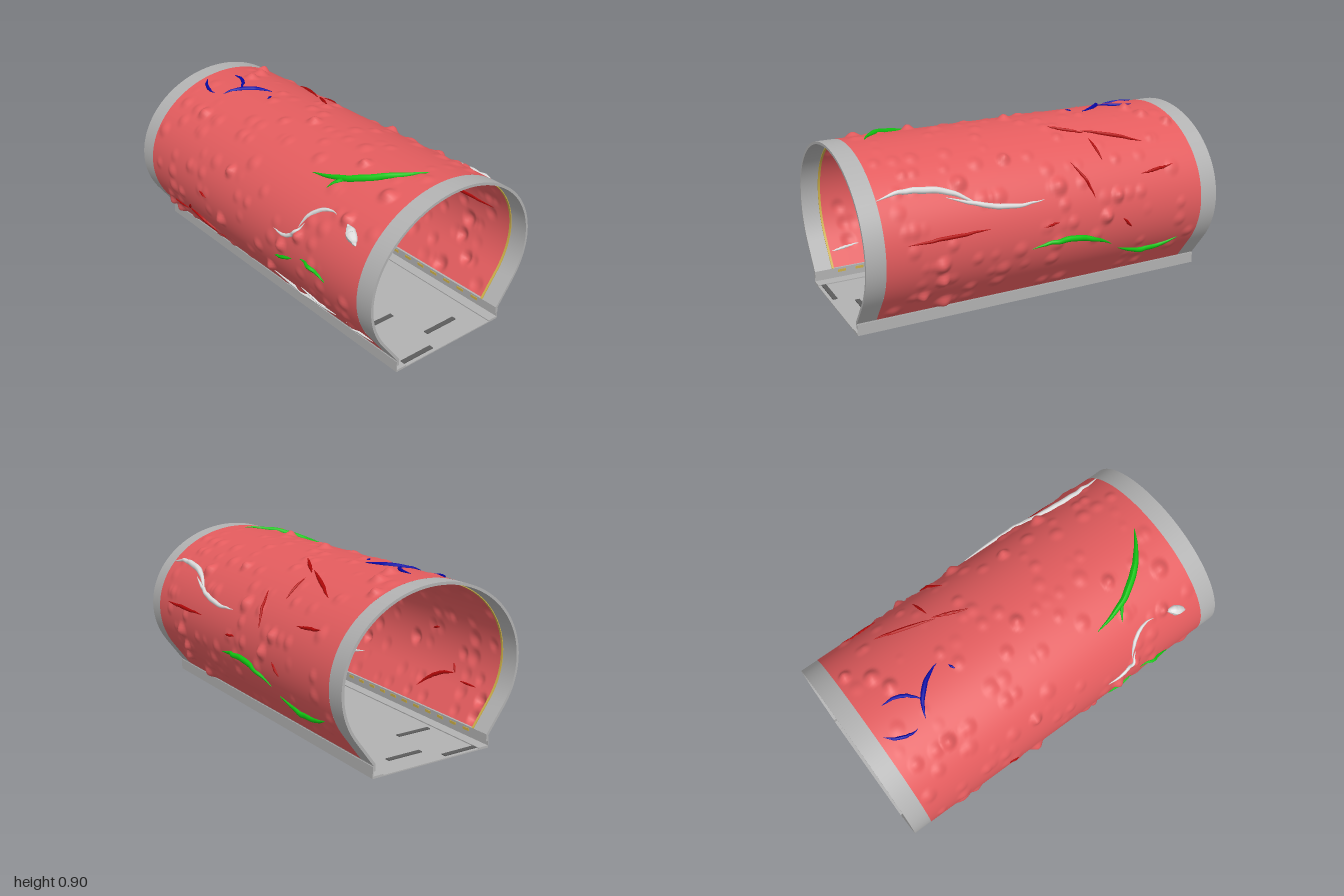
import * as THREE from 'three';
import { toCreasedNormals } from 'three/addons/utils/BufferGeometryUtils.js';

const mat = (name, color, side = THREE.FrontSide) => {
  const m = new THREE.MeshStandardMaterial({ color, side });
  m.name = name;
  return m;
};

// Arch cross-section in (z, y): straight foot, ellipse, straight foot; u runs front to back
const arch = new THREE.CurvePath();
const foot = new THREE.Vector2(0.345, 0.065);
const ellipse = new THREE.EllipseCurve(0, 0.43, 0.522, 0.44, -0.55, Math.PI + 0.55);
arch.add(new THREE.LineCurve(foot, ellipse.getPoint(0)));
arch.add(ellipse);
arch.add(new THREE.LineCurve(ellipse.getPoint(1), new THREE.Vector2(-foot.x, foot.y)));
const LENGTH = arch.getLength();

function sectionPoint(u, offset) {
  const p = arch.getPoint(u), t = arch.getTangent(u);
  return new THREE.Vector2(p.x + t.y * offset, p.y - t.x * offset);
}

// Seeded bumps: one tall and several low ones in each row around the arch
let seed = 11;
const rnd = () => (seed = (seed * 16807) % 2147483647) / 2147483647;
const bumps = [];
const ROWS = 24;
for (let k = 0; k < ROWS; k++) {
  for (let i = 0; i < 9; i++) {
    bumps.push({
      x: -0.86 + 1.72 * rnd(),
      u: (k + 0.5) / ROWS,
      r: 0.045 + 0.02 * rnd(),
      h: i === 0 ? 0.03 : 0.004 + 0.011 * rnd(),
    });
  }
}
function bumpHeight(x, u) {
  let h = 0.002;
  for (const b of bumps) {
    const d = Math.hypot(x - b.x, (u - b.u) * LENGTH) / b.r;
    if (d < 1) h = Math.max(h, b.h * (0.5 + 0.5 * Math.cos(Math.PI * d)));
  }
  return h;
}

// Skin point from x and either a height y (front, back) or a depth z (top)
const RANGES = { front: [0, 0.5], top: [0.2, 0.8], back: [0.5, 1] };
function onSkin(face, x, v) {
  const [lo, hi] = RANGES[face];
  let best = lo, err = Infinity;
  for (let i = 0; i <= 300; i++) {
    const u = lo + ((hi - lo) * i) / 300;
    const p = arch.getPoint(u);
    const e = Math.abs((face === 'top' ? p.x : p.y) - v);
    if (e < err) { err = e; best = u; }
  }
  const p = sectionPoint(best, bumpHeight(x, best) + 0.002);
  return new THREE.Vector3(x, p.y, p.x);
}

// Tapered tube on the skin between two points, bowed sideways; longer ones are thicker
function veinGeometry(face, thickness, x0, v0, x1, v1, bow = 0) {
  const a = new THREE.Vector2(x0, v0), b = new THREE.Vector2(x1, v1);
  const mid = new THREE.Vector2((x0 + x1) / 2 - 2 * bow * (v1 - v0), (v0 + v1) / 2 + 2 * bow * (x1 - x0));
  const flat = new THREE.QuadraticBezierCurve(a, mid, b).getPoints(14);
  const path = new THREE.CatmullRomCurve3(flat.map((p) => onSkin(face, p.x, p.y)));
  const seg = 28, sides = 8;
  const geo = new THREE.TubeGeometry(path, seg, thickness * Math.sqrt(a.distanceTo(b)), sides);
  const pos = geo.attributes.position, v = new THREE.Vector3();
  for (let i = 0; i < pos.count; i++) {
    const t = Math.floor(i / (sides + 1)) / seg;
    const c = path.getPointAt(t);
    v.fromBufferAttribute(pos, i).sub(c).multiplyScalar(0.08 + 0.92 * Math.sin(Math.PI * t)).add(c);
    pos.setXYZ(i, v.x, v.y, v.z);
  }
  geo.computeVertexNormals();
  return geo;
}

// Arch band between two offsets, from x0 to x0 + width
function archBand(outer, inner, x0, width) {
  const N = 90, pts = [];
  for (let i = 0; i <= N; i++) pts.push(sectionPoint(i / N, outer));
  for (let i = N; i >= 0; i--) pts.push(sectionPoint(i / N, inner));
  const geo = new THREE.ExtrudeGeometry(new THREE.Shape(pts), { depth: width, bevelEnabled: false });
  geo.rotateY(Math.PI / 2).translate(x0, 0, 0);
  return toCreasedNormals(geo, 0.5);
}

export function createModel() {
  const model = new THREE.Group();
  const skinRed = mat('skin red', 0xe45c5e, THREE.DoubleSide);
  const grey = mat('frame grey', 0xb2b2b2);
  const darkGrey = mat('slot grey', 0x5c5c5c);
  const yellow = mat('seal yellow', 0xcdb04a);
  const green = mat('vein green', 0x12c312);
  const blue = mat('vein blue', 0x0808a8);
  const darkRed = mat('vein dark red', 0xb00808);
  const white = mat('vein white', 0xdcdcdc);

  const add = (name, geo, material) => {
    const mesh = new THREE.Mesh(geo, material);
    mesh.name = name;
    model.add(mesh);
  };
  const box = (name, material, w, h, d, x, y, z) =>
    add(name, new THREE.BoxGeometry(w, h, d).translate(x, y, z), material);

  // Bumpy skin: a plane wrapped over the arch
  const skin = new THREE.PlaneGeometry(1, 1, 190, 168);
  const pos = skin.attributes.position, uv = skin.attributes.uv;
  for (let i = 0; i < pos.count; i++) {
    const x = -0.9 + 1.8 * uv.getX(i), u = uv.getY(i);
    const p = sectionPoint(u, bumpHeight(x, u));
    pos.setXYZ(i, x, p.y, p.x);
  }
  skin.computeVertexNormals();
  add('skin', skin, skinRed);

  // End rings with thin seals inside
  for (const s of [-1, 1]) {
    add('endRing', archBand(0.002, -0.012, s > 0 ? 0.9 : -1, 0.1), grey);
    add('innerSeal', archBand(-0.012, -0.016, s * 0.9 - 0.006, 0.012), yellow);
  }

  // Floor tray, side panels and inner rails
  box('floor', grey, 2, 0.006, 0.7, 0, 0.003, 0);
  for (const s of [-1, 1]) {
    box('sidePanel', grey, 2, 0.06, 0.003, 0, 0.03, s * 0.3485);
    box('floorFlange', grey, 2, 0.012, 0.06, 0, 0.006, s * 0.319);
    box('rail', grey, 2, 0.036, 0.012, 0, 0.054, s * 0.341);
    for (let i = 0; i < 18; i++) {
      box('railClip', yellow, 0.045, 0.014, 0.004, -0.85 + i * 0.1, 0.055, s * 0.334);
    }
    box('floorSlot', darkGrey, 0.025, 0.006, 0.2, s * 0.97, 0.008, 0.19);
    box('floorSlot', darkGrey, 0.025, 0.006, 0.2, s * 0.87, 0.008, -0.07);
    box('floorSlot', darkGrey, 0.025, 0.006, 0.2, s * 0.65, 0.008, 0.16);
  }

  // Veins: face, thickness, start x and v, end x and v, bow
  const vein = (name, material, face, ...spec) => add(name, veinGeometry(face, ...spec), material);

  const greenVein = vein.bind(null, 'greenVein', green);
  greenVein('top', 0.026, 0.32, 0.31, 0.8, 0, 0.13);
  greenVein('top', 0.026, 0.46, 0.34, 0.59, 0.22, -0.1);
  greenVein('front', 0.025, 0.27, 0.37, 0.42, 0.42);
  greenVein('front', 0.025, 0.48, 0.45, 0.67, 0.41, 0.08);
  greenVein('back', 0.024, 0.13, 0.35, -0.35, 0.29, -0.1);
  greenVein('back', 0.026, -0.4, 0.25, -0.79, 0.24, 0.11);

  const whiteVein = vein.bind(null, 'whiteVein', white);
  whiteVein('front', 0.022, 0.26, 0.52, 0.46, 0.62, -0.2);
  whiteVein('front', 0.022, 0.43, 0.59, 0.62, 0.71, 0.2);
  whiteVein('front', 0.085, 0.71, 0.7, 0.81, 0.65);
  whiteVein('front', 0.02, 0.16, 0.195, 0.63, 0.155, -0.04);
  whiteVein('front', 0.018, 0.42, 0.235, 0.57, 0.17);
  whiteVein('front', 0.02, 0.71, 0.165, 0.89, 0.145);
  whiteVein('top', 0.02, 0.05, -0.485, 0.56, -0.44, -0.04);
  whiteVein('top', 0.025, 0.4, -0.475, 0.9, -0.415, 0.08);

  const blueVein = vein.bind(null, 'blueVein', blue);
  blueVein('top', 0.022, -0.79, 0.01, -0.61, 0.1, -0.17);
  blueVein('top', 0.025, -0.65, 0.18, -0.45, -0.01, -0.13);
  blueVein('top', 0.022, -0.87, 0.14, -0.71, 0.2, 0.13);
  blueVein('top', 0.03, -0.405, 0.03, -0.39, 0.065);

  const redVein = vein.bind(null, 'redVein', darkRed);
  redVein('front', 0.024, -0.59, 0.25, -0.36, 0.13, 0.12);
  redVein('front', 0.03, -0.55, 0.3, -0.59, 0.25);
  redVein('front', 0.016, -0.78, 0.225, -0.63, 0.225);
  redVein('front', 0.028, -0.4, 0.455, -0.34, 0.435);
  redVein('top', 0.019, -0.62, -0.34, -0.31, -0.22);
  redVein('top', 0.022, -0.32, -0.24, -0.15, -0.155);
  redVein('top', 0.02, -0.34, -0.4, -0.325, -0.28);
  redVein('top', 0.021, -0.24, -0.5, -0.155, -0.39);
  redVein('back', 0.016, 0.79, 0.49, 0.36, 0.5);
  redVein('back', 0.022, 0.07, 0.46, -0.02, 0.47);
  redVein('back', 0.026, -0.4, 0.43, -0.46, 0.37);
  redVein('back', 0.02, -0.54, 0.63, -0.74, 0.65);
  return model;
}
